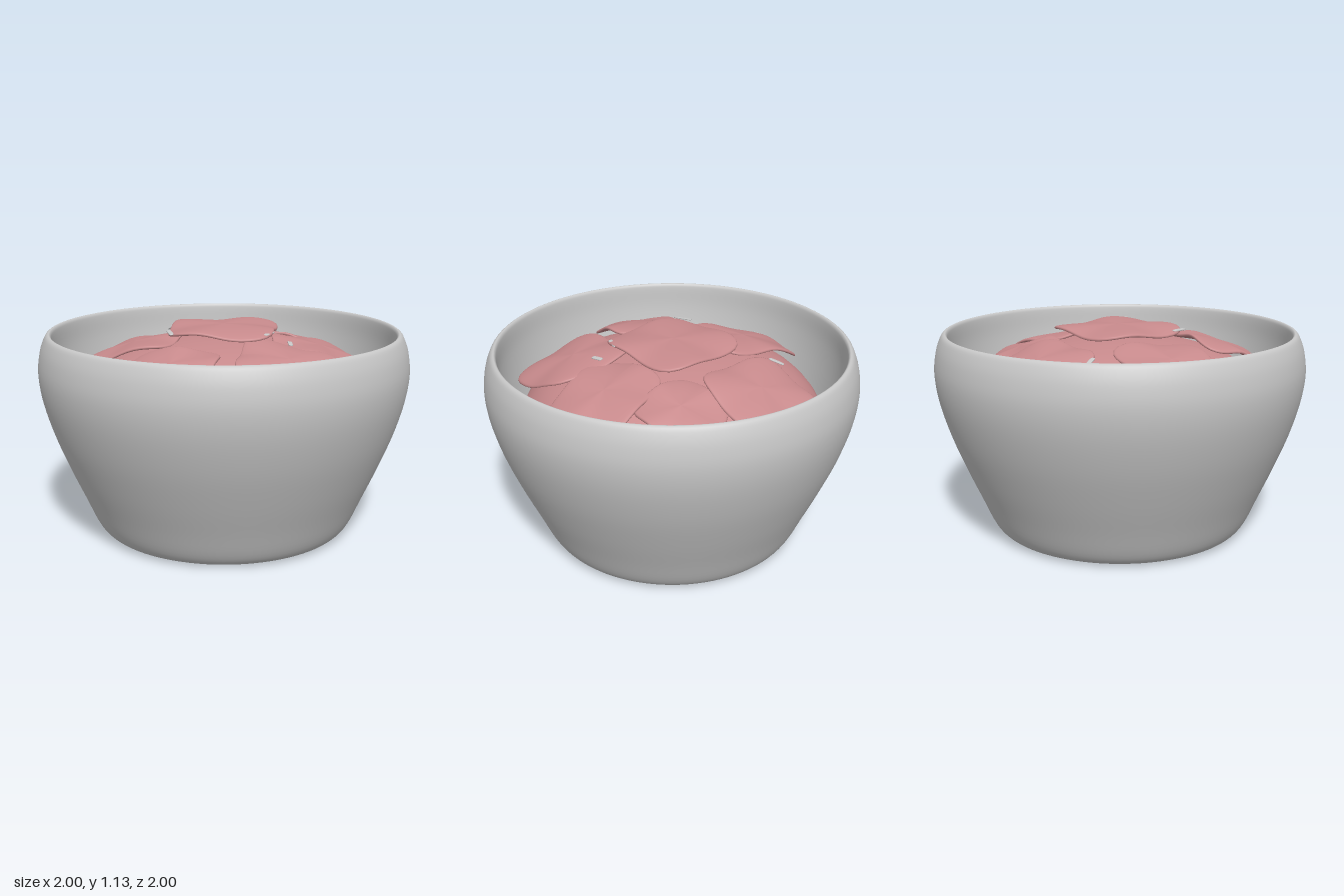
import * as THREE from 'three';

const bowlMat = new THREE.MeshStandardMaterial({ color: 0xc8c8c8 });
bowlMat.name = 'bowl grey';
const meatMat = new THREE.MeshStandardMaterial({ color: 0xc98b8d });
meatMat.name = 'meat pink';

const vec = (list) => list.map(([x, y]) => new THREE.Vector2(x, y));

// Gently domed height on which the slices rest
const restHeight = (x, z) => {
  const r2 = x * x + z * z;
  return 1.07 - 0.15 * r2 - 0.2 * r2 * r2;
};

// Thin rounded-square sheet draped over the mound, with wavy edges
function sheet(cx, cz, hx, hz, yaw, lift, half, seed, wave) {
  const geo = new THREE.SphereGeometry(1, 48, 20);
  const pos = geo.attributes.position;
  const c = Math.cos(yaw), s = Math.sin(yaw);
  for (let i = 0; i < pos.count; i++) {
    const px = pos.getX(i), py = pos.getY(i), pz = pos.getZ(i);
    const ring = Math.sqrt(Math.min(1, Math.hypot(px, pz)));
    const a = Math.atan2(pz, px);
    const ca = Math.cos(a), sa = Math.sin(a);
    const square = Math.pow(Math.abs(ca) ** 4.5 + Math.abs(sa) ** 4.5, -1 / 4.5);
    const r = ring * square * (1 + wave * 2 * Math.sin(3 * a + seed));
    const lx = r * ca * hx, lz = r * sa * hz;
    const x = cx + lx * c + lz * s, z = cz - lx * s + lz * c;
    const curl = wave * ring * ring * Math.sin(4 * a + seed * 2.3);
    const y = restHeight(x, z) + lift + curl + half * Math.sign(py) * Math.sqrt(Math.abs(py));
    pos.setXYZ(i, x, y, z);
  }
  geo.computeVertexNormals();
  return geo;
}

export function createModel() {
  const model = new THREE.Group();
  model.name = 'bowlOfSlices';
  const add = (name, geo, mat) => {
    const mesh = new THREE.Mesh(geo, mat);
    mesh.name = name;
    model.add(mesh);
  };

  // Bowl: flat base, then a smooth wall over the rim and down the inside
  const wall = new THREE.SplineCurve(vec([
    [0.62, 0], [0.675, 0.018], [0.72, 0.075], [0.78, 0.21], [0.855, 0.38], [0.93, 0.57],
    [0.982, 0.75], [1, 0.89], [0.988, 1.0], [0.962, 1.075], [0.942, 1.098], [0.928, 1.092],
    [0.922, 1.06], [0.915, 0.95], [0.89, 0.8], [0.84, 0.6], [0.76, 0.42], [0.62, 0.25],
  ])).getPoints(72);
  add('bowl', new THREE.LatheGeometry([...vec([[0, 0], [0.4, 0]]), ...wall, ...vec([[0, 0.22]])], 96), bowlMat);

  // Filling mound under the slices
  const mound = new THREE.SplineCurve(vec([
    [0.815, 0.55], [0.82, 0.72], [0.74, 0.845], [0.62, 0.935], [0.43, 1.005], [0.2, 1.04], [0, 1.05],
  ])).getPoints(18);
  add('moundOfFilling', new THREE.LatheGeometry(mound, 40), meatMat);

  // Slices: centre x, z, half sizes, yaw, lift
  const slices = [
    ['backRight', 0.35, -0.42, 0.19, 0.19, -0.08, -0.02],
    ['back', -0.07, -0.575, 0.265, 0.235, -0.12, 0.0],
    ['left', -0.5, -0.05, 0.27, 0.235, -0.16, -0.015],
    ['right', 0.52, -0.045, 0.26, 0.235, 0.2, -0.015],
    ['frontRight', 0.36, 0.39, 0.26, 0.25, -0.08, -0.005],
    ['frontLeft', -0.23, 0.515, 0.225, 0.2, -0.18, 0.0],
    ['centre', 0, -0.01, 0.285, 0.285, -0.04, 0.045],
  ];
  slices.forEach(([name, x, z, hx, hz, yaw, lift], i) => {
    add(name + 'Slice', sheet(x, z, hx, hz, yaw, lift, 0.014, i * 1.7 + 0.6, 0.014), meatMat);
  });

  // Small pale flecks of fat near the slice edges
  const flecks = [
    [-0.27, 0.19, 0.055, 0.3, 0.05], [0.25, 0.19, 0.05, -0.4, 0.05], [-0.34, -0.44, 0.04, 0.5, 0.012],
    [-0.765, 0.05, 0.035, 0.2, -0.005], [0.36, 0.19, 0.035, 0.1, 0.012], [-0.445, 0.62, 0.04, 0.4, 0.012],
  ];
  flecks.forEach(([x, z, len, yaw, lift], i) => {
    add('fatFleck' + (i + 1), sheet(x, z, 0.012, len, yaw, lift + 0.008, 0.004, i, 0), bowlMat);
  });
  return model;
}
